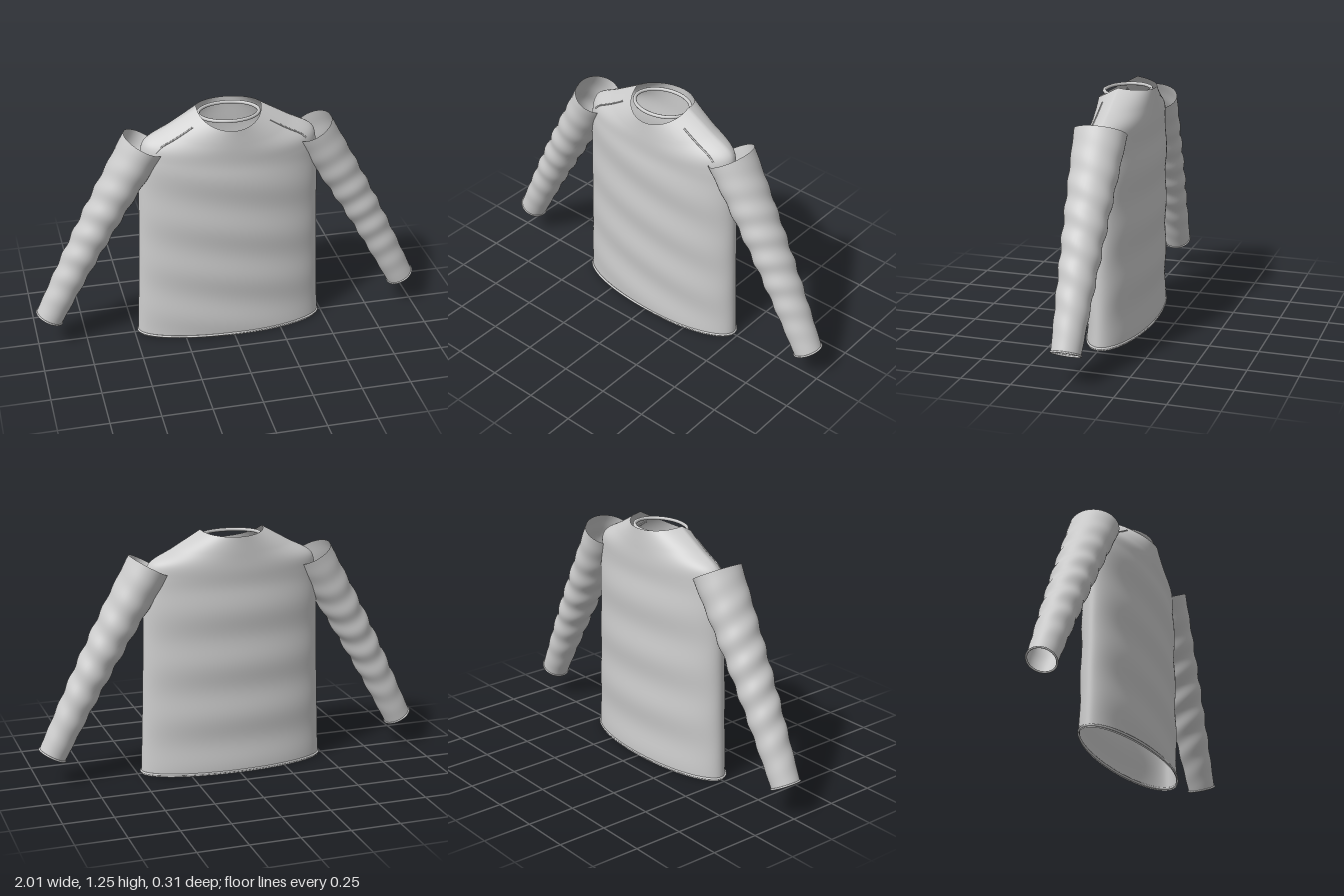
import * as THREE from 'three';

const V = (x, y, z) => new THREE.Vector3(x, y, z);

const cloth = new THREE.MeshStandardMaterial({ color: 0xcccccc, side: THREE.DoubleSide });

// Open tube of cloth: point(t, a) gives the surface at height t (0..1) and angle a
function loft(name, rings, sides, point) {
  const pos = [], idx = [];
  for (let i = 0; i <= rings; i++) {
    for (let j = 0; j < sides; j++) {
      pos.push(...point(i / rings, (j / sides) * Math.PI * 2).toArray());
      if (i === rings) continue;
      const k = (j + 1) % sides;
      const a = i * sides + j, b = i * sides + k;
      idx.push(a, a + sides, b, b, a + sides, b + sides);
    }
  }
  const geo = new THREE.BufferGeometry();
  geo.setAttribute('position', new THREE.Float32BufferAttribute(pos, 3));
  geo.setIndex(idx);
  geo.computeVertexNormals();
  const mesh = new THREE.Mesh(geo, cloth);
  mesh.name = name;
  return mesh;
}

// Thin rolled edge or seam along a list of points
function cord(name, points, radius, closed) {
  const curve = new THREE.CatmullRomCurve3(points, closed);
  const mesh = new THREE.Mesh(new THREE.TubeGeometry(curve, closed ? 96 : 32, radius, 8, closed), cloth);
  mesh.name = name;
  return mesh;
}

const around = (n, f) => Array.from({ length: n }, (_, i) => f((i / n) * Math.PI * 2));

// Body profile: half width (x), height (y), half depth (z)
const profile = new THREE.CatmullRomCurve3([
  V(0.48, 0, 0.146), V(0.468, 0.35, 0.148), V(0.458, 0.7, 0.15), V(0.452, 0.92, 0.15),
  V(0.444, 1.03, 0.148), V(0.425, 1.093, 0.147), V(0.3, 1.165, 0.146), V(0.16, 1.245, 0.143),
]);

// Elliptical body rings; the upper ones dip to form the neckline
function bodyPoint(t, a) {
  const p = profile.getPoint(t);
  const c = Math.cos(a), s = Math.sin(a);
  const dip = THREE.MathUtils.smoothstep(p.y, 0.75, 1.245);
  const y = p.y - dip * (s > 0 ? 0.077 * s : -0.02 * s);
  const x = p.x * c;
  const fold = s > 0 ? Math.sin(23 * y + 5 * x) : Math.sin(23 * y + 0.8);
  const fade = 1 - THREE.MathUtils.smoothstep(p.y, 0.95, 1.15);
  return V(x, y, p.z * s + 0.005 * fold * fade * s);
}

// Tapered, slightly bowed sleeve with spiralling folds
function sleevePoint(side, t, angle) {
  const a = angle * side;
  const bow = 0.012 * Math.sin(Math.PI * t);
  const cx = THREE.MathUtils.lerp(0.425, 0.937, t) + bow * 0.877;
  const cy = THREE.MathUtils.lerp(1.085, 0.153, t) + bow * 0.481;
  const fold = 0.0045 * Math.sin(t * 50 + 2 * Math.sin(a)) * Math.sin(Math.PI * Math.min(1, t * 1.02));
  const r = THREE.MathUtils.lerp(0.109, 0.071, t) + fold;
  const rz = THREE.MathUtils.lerp(0.13, 0.071, t) + fold;
  const u = r * Math.cos(a);
  return V(side * (cx + 0.877 * u), cy + 0.481 * u, rz * Math.sin(a));
}

export function createModel() {
  const shirt = new THREE.Group();
  shirt.name = 'longSleeveShirt';

  shirt.add(loft('body', 120, 96, bodyPoint));

  // Hem and collar band
  shirt.add(cord('hem', around(48, (a) => V(0.481 * Math.cos(a), 0.012, 0.148 * Math.sin(a))), 0.006, true));
  const collar = cord('collar', around(40, (a) => V(0.15 * Math.cos(a), 0, 0.112 * Math.sin(a))), 0.009, true);
  collar.position.y = 1.208;
  shirt.add(collar);

  for (const side of [1, -1]) {
    const label = side > 0 ? 'left' : 'right';
    const arm = new THREE.Group();
    arm.name = label + 'Arm';

    // Sleeve runs from shoulder to wrist, so its angle is reversed to face outwards
    arm.add(loft(label + 'Sleeve', 100, 40, (t, a) => sleevePoint(side, t, -a * side * side)));
    arm.add(cord(label + 'Cuff', around(24, (a) => sleevePoint(side, 0.997, a)), 0.005, true));

    // Seam along the front of the shoulder
    const seam = [0.7, 0.76, 0.82, 0.88, 0.94].map((t) => {
      const p = bodyPoint(t, 0.5);
      return V(side * p.x, p.y, p.z);
    });
    arm.add(cord(label + 'ShoulderSeam', seam, 0.004, false));
    shirt.add(arm);
  }
  return shirt;
}
